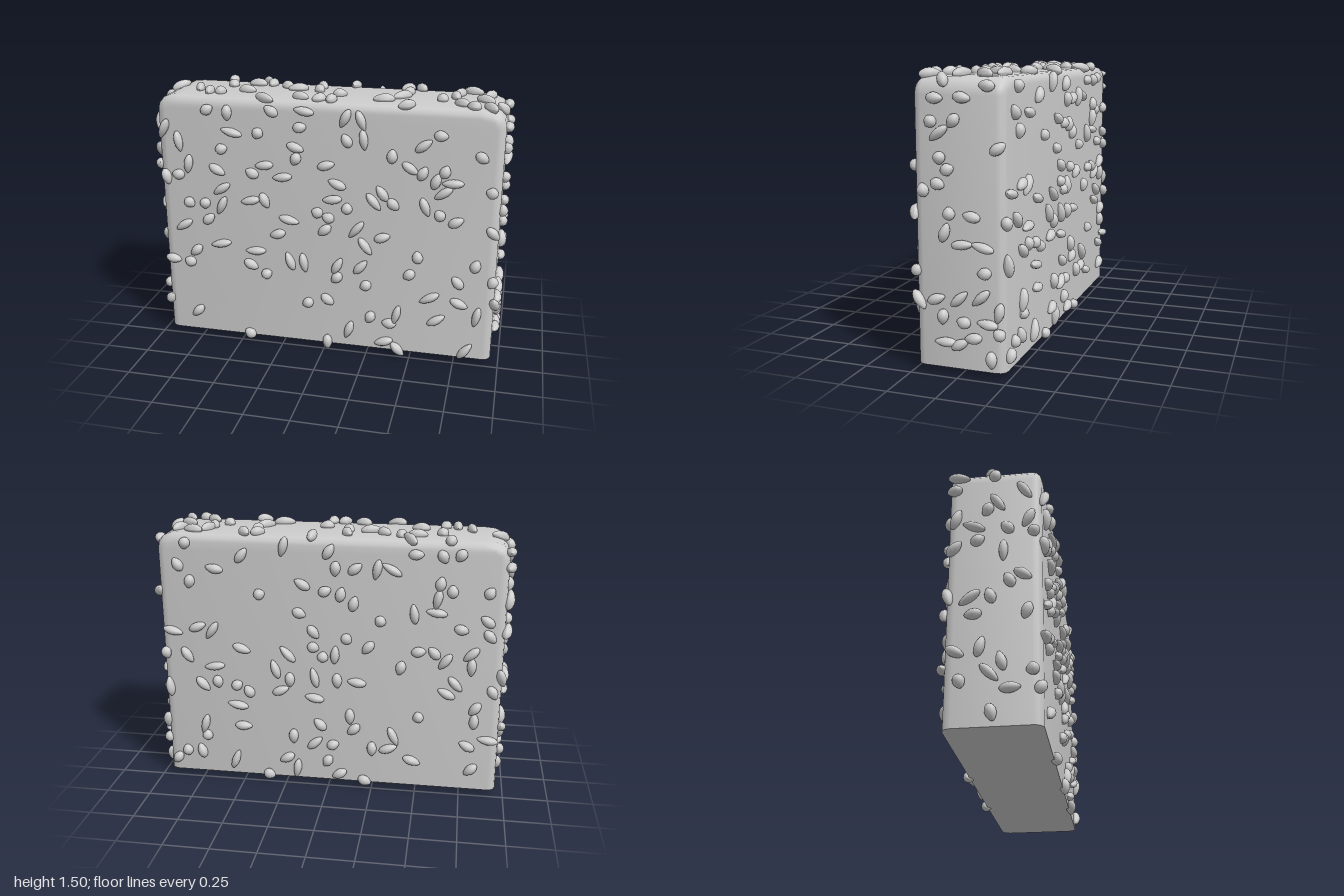
import * as THREE from 'three';
import { mergeGeometries, toCreasedNormals } from 'three/addons/utils/BufferGeometryUtils.js';

const W = 0.955, D = 0.235, BOTTOM = 0.028, TOP = 1.457, BEVEL = 0.045;

// small seeded generator
function makeRandom(seed) {
  return () => {
    seed = (seed * 1664525 + 1013904223) % 4294967296;
    return seed / 4294967296;
  };
}

// slab with rounded upper corners, bevelled edges and a flat base
function slabGeometry() {
  const rx = 0.13, ry = 0.09;
  const s = new THREE.Shape();
  s.moveTo(-W, BOTTOM);
  s.lineTo(W, BOTTOM);
  s.lineTo(W, TOP - ry);
  s.quadraticCurveTo(W, TOP, W - rx, TOP);
  s.lineTo(-W + rx, TOP);
  s.quadraticCurveTo(-W, TOP, -W, TOP - ry);
  s.closePath();
  const geo = new THREE.ExtrudeGeometry(s, {
    depth: 2 * (D - BEVEL), curveSegments: 4,
    bevelSize: BEVEL, bevelThickness: BEVEL, bevelOffset: -BEVEL, bevelSegments: 3,
  });
  geo.translate(0, 0, -(D - BEVEL));
  // square off the bevel along the base
  const p = geo.attributes.position;
  for (let i = 0; i < p.count; i++) if (p.getY(i) < BOTTOM + BEVEL + 0.005) p.setY(i, BOTTOM);
  geo.deleteAttribute('uv');
  return toCreasedNormals(geo, 0.75);
}

// plump grain, long in y, narrowing to softly pointed ends
function grainGeometry() {
  const geo = new THREE.SphereGeometry(1, 12, 8);
  const p = geo.attributes.position;
  for (let i = 0; i < p.count; i++) {
    const y = p.getY(i);
    const k = (1 - 0.2 * y * y) * (1 - 0.14 * y);
    p.setXYZ(i, p.getX(i) * k, y, p.getZ(i) * k);
  }
  geo.computeVertexNormals();
  return geo;
}

export function createModel() {
  const group = new THREE.Group();
  const material = new THREE.MeshStandardMaterial({ color: 0xcccccc });

  const slab = new THREE.Mesh(slabGeometry(), material);
  slab.name = 'slab';
  group.add(slab);
  slab.updateMatrixWorld(true);

  const random = makeRandom(20417);
  const grain = grainGeometry();
  const ray = new THREE.Raycaster();
  const Z = new THREE.Vector3(0, 0, 1);
  const placed = [];

  // one grain lying on the slab where a ray along -normal meets it
  function layGrain(point, normal, spacing) {
    ray.set(point.clone().addScaledVector(normal, 1), normal.clone().negate());
    const hit = ray.intersectObject(slab)[0];
    if (!hit || placed.some((q) => q.distanceTo(hit.point) < spacing)) return null;
    placed.push(hit.point);
    const n = hit.face.normal;
    const turn = new THREE.Quaternion().setFromUnitVectors(Z, n)
      .multiply(new THREE.Quaternion().setFromAxisAngle(Z, random() * Math.PI * 2));
    const slim = random();
    const size = new THREE.Vector3(0.032 - 0.009 * slim, 0.031 + 0.032 * slim, 0.03);
    const centre = hit.point.clone().addScaledVector(n, 0.01);
    return grain.clone().applyMatrix4(new THREE.Matrix4().compose(centre, turn, size));
  }

  // faces: outward direction, number of grains, and a random point over the face
  const spread = (h) => (random() * 2 - 1) * h;
  const height = () => 0.07 + random() * (TOP - 0.1);
  const faces = [
    ['frontGrains', [0, 0, 1], 95, () => [spread(W - 0.02), height(), 0]],
    ['backGrains', [0, 0, -1], 95, () => [spread(W - 0.02), height(), 0]],
    ['leftGrains', [1, 0, 0], 30, () => [0, height(), spread(D - 0.01)]],
    ['rightGrains', [-1, 0, 0], 30, () => [0, height(), spread(D - 0.01)]],
    ['topGrains', [0, 1, 0], 36, () => [spread(W - 0.02), TOP / 2, spread(D - 0.01)]],
  ];
  // a few grains that overhang the base edge
  const overhang = { frontGrains: [-0.45, 0.02, 0.43], backGrains: [-0.21, 0.35] };

  for (const [name, dir, count, pick] of faces) {
    const normal = new THREE.Vector3(...dir);
    const parts = (overhang[name] || [])
      .map((x) => layGrain(new THREE.Vector3(x, BOTTOM + 0.012, 0), normal, 0))
      .filter(Boolean);
    for (let tries = 0; parts.length < count && tries < count * 20; tries++) {
      const part = layGrain(new THREE.Vector3(...pick()), normal, 0.065);
      if (part) parts.push(part);
    }
    const mesh = new THREE.Mesh(mergeGeometries(parts), material);
    mesh.name = name;
    group.add(mesh);
  }
  return group;
}
